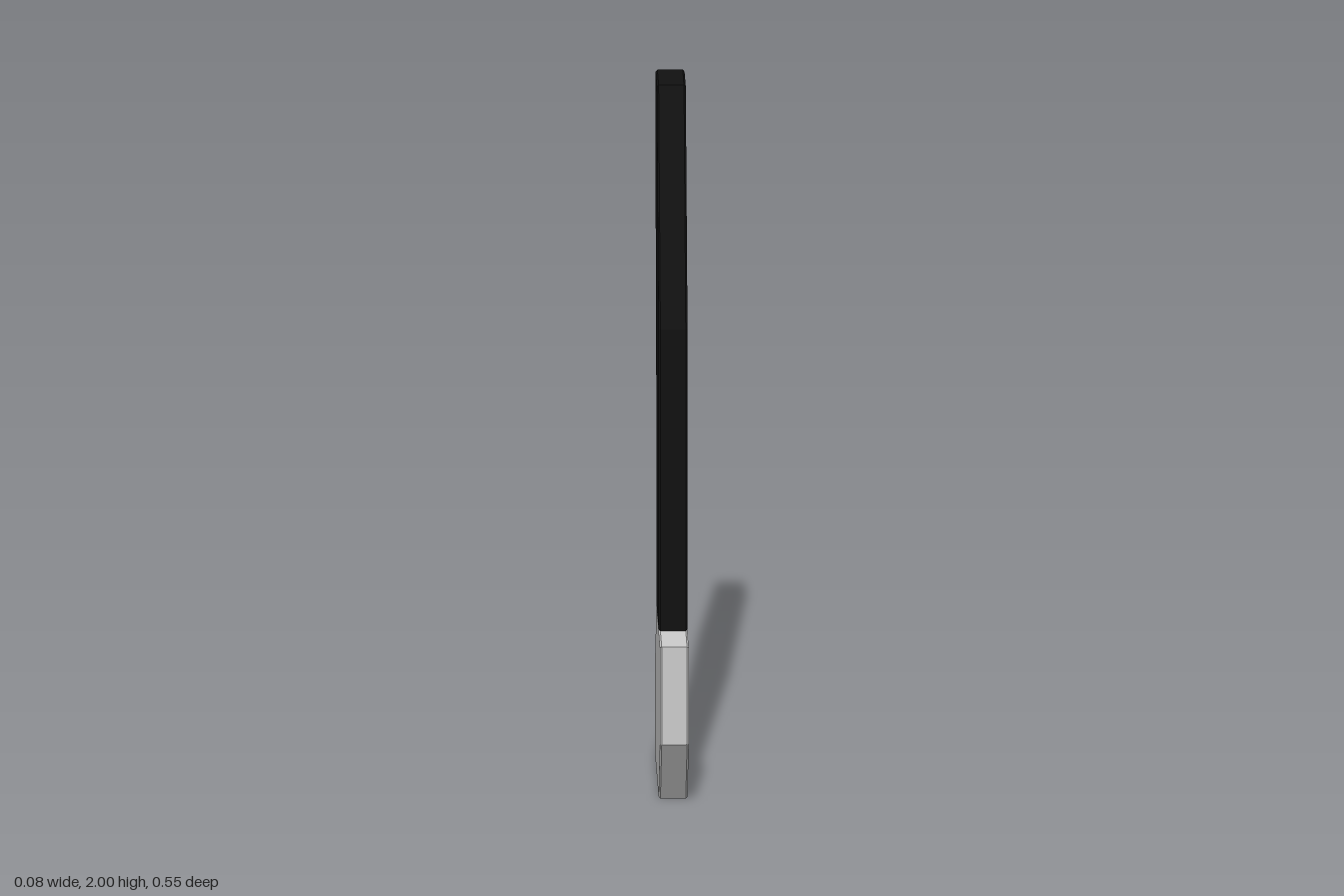
import * as THREE from 'three';

const HALF = 0.04;    // half thickness of both parts
const BEVEL = 0.005;  // small chamfer along the side edges

// Flat plate from a (z, y) outline, chamfered and centred on x = 0
function plate(name, outline, color) {
  const shape = new THREE.Shape(outline.map(([z, y]) => new THREE.Vector2(z, y)));
  const geometry = new THREE.ExtrudeGeometry(shape, {
    depth: 2 * (HALF - BEVEL),
    bevelThickness: BEVEL,
    bevelSize: BEVEL,
    bevelOffset: -BEVEL,
    bevelSegments: 1,
  });
  geometry.translate(0, 0, -(HALF - BEVEL));
  geometry.rotateY(-Math.PI / 2);
  const material = new THREE.MeshStandardMaterial({ color, flatShading: true });
  const mesh = new THREE.Mesh(geometry, material);
  mesh.name = name;
  return mesh;
}

export function createModel() {
  const model = new THREE.Group();
  model.name = 'bladeTool';

  // Six-sided grey foot
  model.add(plate('base', [
    [0.13, 0], [0.275, 0.2], [0.275, 0.483], [-0.12, 0.483], [-0.272, 0.285], [-0.272, 0],
  ], 0xcccccc));

  // Tall dark shaft, bent backward and tapering to the top
  model.add(plate('shaft', [
    [0.128, 0.483], [0.128, 1.355], [-0.07, 2], [-0.215, 2],
    [-0.197, 1.38], [-0.122, 1.03], [-0.122, 0.483],
  ], 0x111111));

  return model;
}
